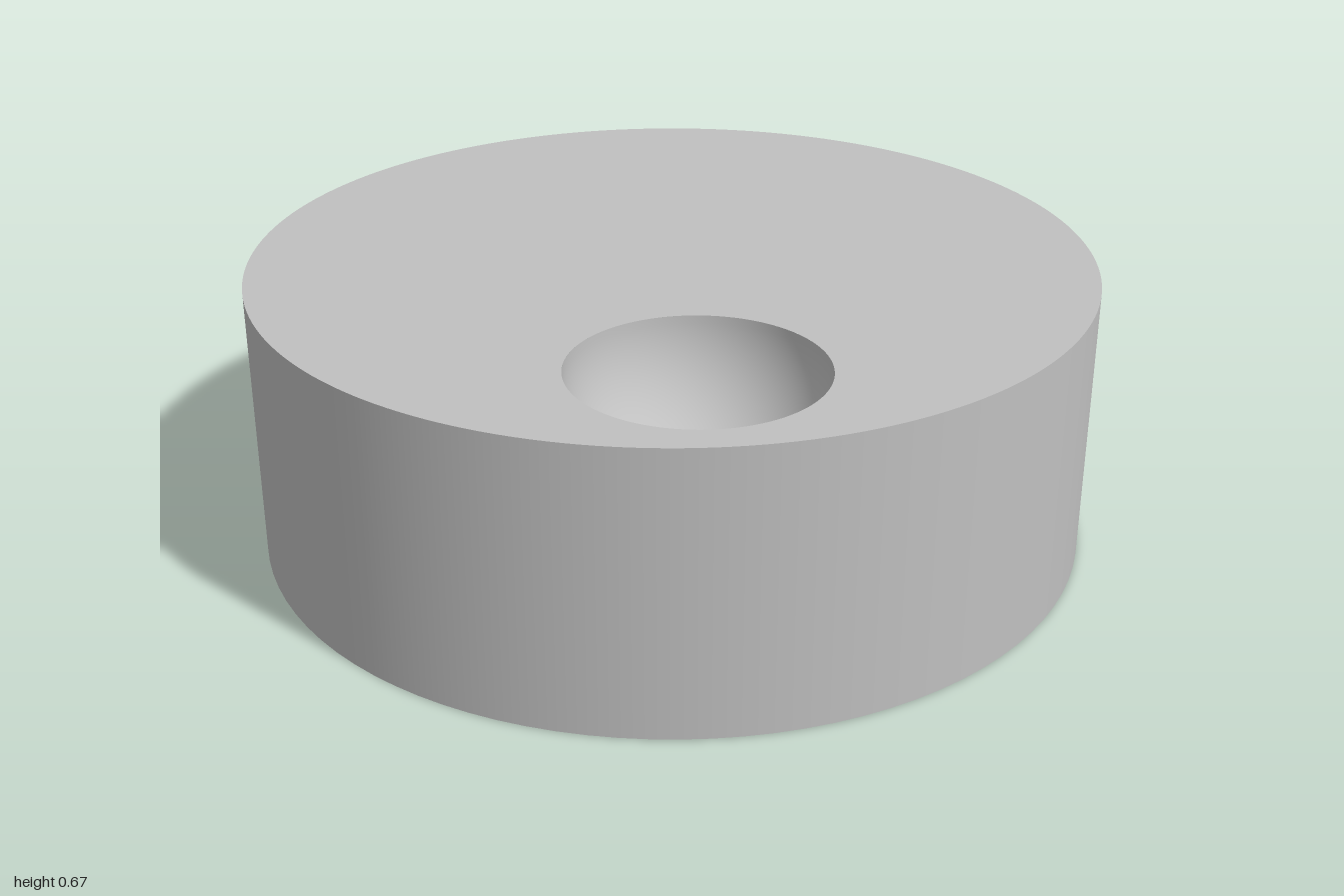
import * as THREE from 'three';

const R = 1, H = 0.67, SEG = 96;
const OFFSET = 0.64;                 // distance of the off-centre holes from the axis
const DIMPLE_R = 0.283;
const CENTRE_R = 0.345, PIN_R = 0.176, HOLE_DEPTH = 0.22;

// Disc face with round holes given as [x, y, radius]
function faceGeometry(holes) {
  const shape = new THREE.Shape().absarc(0, 0, R, 0, Math.PI * 2, false);
  for (const [x, y, r] of holes) {
    shape.holes.push(new THREE.Path().absarc(x, y, r, 0, Math.PI * 2, true));
  }
  return new THREE.ShapeGeometry(shape, SEG);
}

const lathe = (points) =>
  new THREE.LatheGeometry(points.map(([x, y]) => new THREE.Vector2(x, y)), SEG);

export function createModel() {
  const grey = new THREE.MeshStandardMaterial({ color: 0xc0c0c0 });
  grey.name = 'grey';
  const model = new THREE.Group();
  model.name = 'roundBase';

  const add = (name, geometry, y = 0, z = 0) => {
    const mesh = new THREE.Mesh(geometry, grey);
    mesh.name = name;
    mesh.position.set(0, y, z);
    model.add(mesh);
  };

  // Outer wall and the two flat faces
  add('outerWall', lathe([[R, 0], [R, H]]));
  add('topFace', faceGeometry([[0, -OFFSET, DIMPLE_R]]).rotateX(-Math.PI / 2), H);
  add('bottomFace', faceGeometry([[0, 0, CENTRE_R], [0, OFFSET, PIN_R]]).rotateX(Math.PI / 2));

  // Hemispherical dimple in the top
  const bowl = [];
  for (let i = 0; i <= 24; i++) {
    const a = (i / 24) * Math.PI / 2;
    bowl.push([i === 24 ? 0 : DIMPLE_R * Math.cos(a), -DIMPLE_R * Math.sin(a)]);
  }
  add('topDimple', lathe(bowl), H, OFFSET);

  // Blind holes in the underside
  for (const [name, r, z] of [['centreHole', CENTRE_R, 0], ['pinHole', PIN_R, OFFSET]]) {
    add(name + 'Wall', lathe([[r, HOLE_DEPTH], [r, 0]]), 0, z);
    add(name + 'Ceiling', new THREE.CircleGeometry(r, SEG).rotateX(Math.PI / 2), HOLE_DEPTH, z);
  }
  return model;
}
